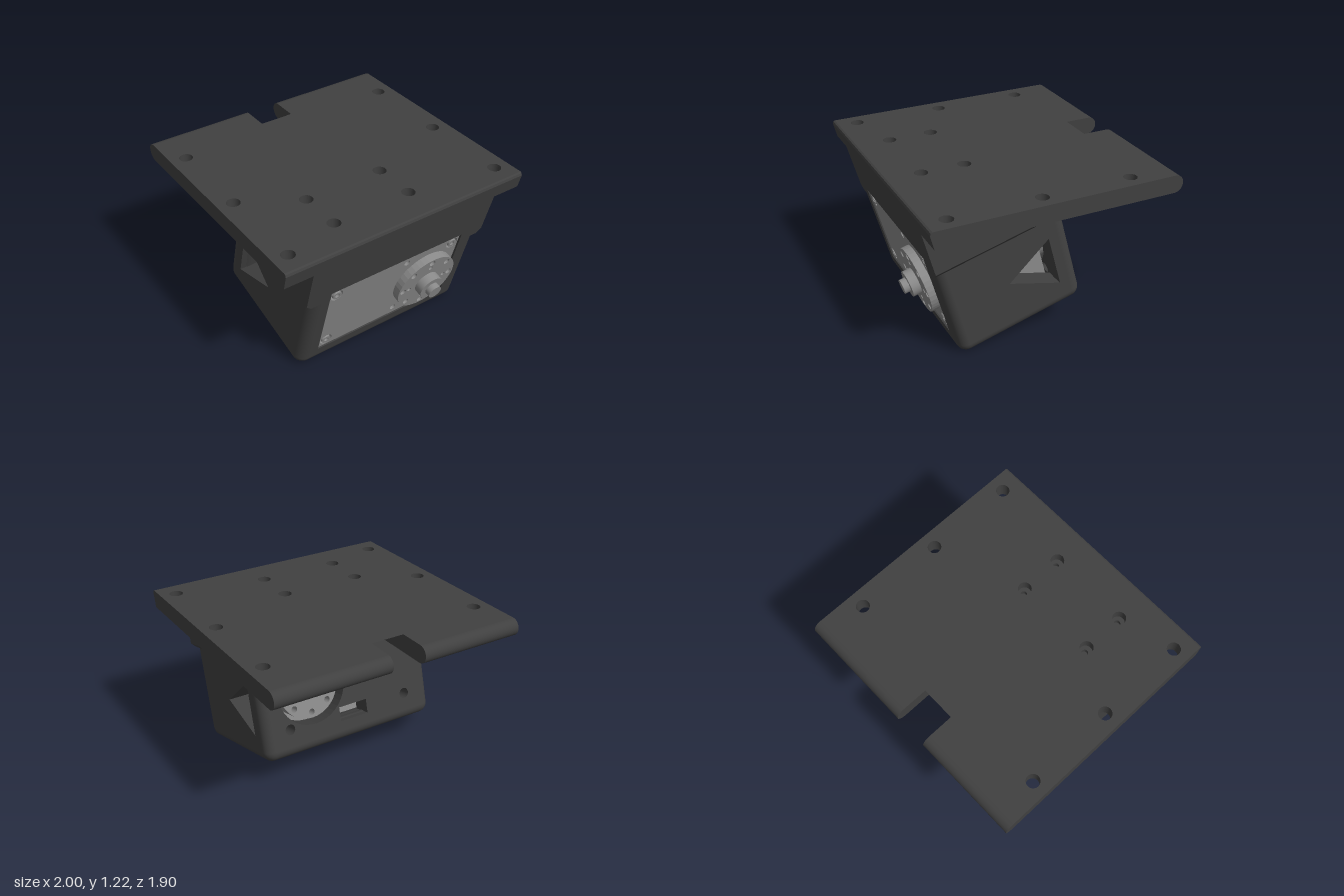
import * as THREE from 'three';

const dark = new THREE.MeshStandardMaterial({ color: 0x404040 });
const steel = new THREE.MeshStandardMaterial({ color: 0x8a8a8a });

const poly = (pts) => new THREE.Shape(pts.map(([x, y]) => new THREE.Vector2(x, y)));
const rect = (x0, y0, x1, y1) => poly([[x0, y0], [x1, y0], [x1, y1], [x0, y1]]);
const disc = (x, y, r) => new THREE.Shape().absarc(x, y, r, 0, Math.PI * 2);

function add(parent, name, geo, mat = dark) {
  const mesh = new THREE.Mesh(geo, mat);
  mesh.name = name;
  parent.add(mesh);
  return mesh;
}

function extrude(shape, depth, holes = []) {
  shape.holes.push(...holes);
  return new THREE.ExtrudeGeometry(shape, { depth, bevelEnabled: false, curveSegments: 20 });
}
// Outline in (x, y), solid from z0 to z1
const alongZ = (shape, z0, z1, holes) => extrude(shape, z1 - z0, holes).translate(0, 0, z0);
// Outline in (z, y), solid from x0 to x1
const alongX = (shape, x0, x1, holes) => extrude(shape, x1 - x0, holes).rotateY(-Math.PI / 2).translate(x1, 0, 0);
// Outline in (x, -z), solid from y0 to y1
const alongY = (shape, y0, y1, holes) => extrude(shape, y1 - y0, holes).rotateX(-Math.PI / 2).translate(0, y0, 0);

function makePlate() {
  const g = new THREE.Group();
  g.name = 'mountingPlate';
  const y0 = 1.09, y1 = 1.225, n0 = -0.17, n1 = 0.095;
  const holes = [];
  for (const x of [-0.88, 0.88]) for (const z of [-0.59, 0.1, 0.79]) holes.push(disc(x, -z, 0.05));
  for (const x of [-0.45, 0.18]) for (const z of [0.35, 0.68]) {
    holes.push(disc(x, -z, 0.05));
    add(g, 'counterboreStep', alongY(disc(x, -z, 0.055), y0, 1.14, [disc(x, -z + 0.01, 0.025)]));
  }
  const plan = poly([[-1, -0.9], [1, -0.9], [1, 0.88], [n1, 0.88], [n1, 0.19], [n0, 0.19], [n0, 0.88], [-1, 0.88]]);
  add(g, 'plate', alongY(plan, y0, y1, holes));
  // Sloped ceiling of the cable channel
  add(g, 'channelCeiling', alongX(poly([[-0.69, y1], [-0.19, y0], [-0.19, y1]]), n0, n1));
  // Slanted front edge
  add(g, 'frontEdge', alongX(poly([[0.9, y0], [0.924, y0], [0.952, 1.2], [0.947, 1.218], [0.935, y1], [0.9, y1]]), -1, 1));
  // Rounded rear edge on both sides of the notch
  const r = (y1 - y0) / 2;
  for (const [a, b] of [[-1, n0], [n1, 1]]) {
    const lip = new THREE.Shape();
    lip.moveTo(-0.88, y0).lineTo(-0.88, y1);
    lip.absarc(-0.885, y0 + r, r, Math.PI / 2, Math.PI * 1.5, false);
    add(g, 'rearEdge', alongX(lip, a, b));
  }
  return g;
}

function makeHousing() {
  const g = new THREE.Group();
  g.name = 'housing';
  const X = 0.735, B = 0.155, R = -0.4, F = 0.61, r = 0.08, t = 0.155;
  const xi = X - r, bi = B + r, ri = R + r, fi = F - r;

  // Side walls with triangular windows
  for (const [a, b] of [[X - t, X], [-X, t - X]]) {
    const tri = poly([[-0.246, 0.76], [0.122, 0.56], [-0.246, 0.354]]);
    add(g, 'sideWall', alongX(rect(ri, bi, fi, 0.92), a, b, [tri]));
  }
  // Floor with a triangular window and four screw holes
  const floorHoles = [poly([[-0.37, 0.235], [0.37, 0.235], [0, -0.09]])];
  for (const x of [-0.45, 0.18]) for (const z of [0.03, 0.35]) {
    if (x > 0 || z > 0) floorHoles.push(disc(x, -z, 0.02));
  }
  add(g, 'floor', alongY(rect(-xi, -fi, xi, -ri), B, B + 0.147, floorHoles));
  // Rear wall with the round opening, cable slot and screw holes
  add(g, 'rearWall', alongZ(rect(-xi, bi, xi, 0.975), R, R + t, [
    disc(0.3, 0.635, 0.28), rect(-0.15, 0.31, 0.09, 0.42), disc(0.52, 0.37, 0.04), disc(-0.5, 0.37, 0.04),
  ]));
  // Front frame around the pocket
  add(g, 'frontFrame', alongZ(poly([
    [-xi, bi], [xi, bi], [xi, 0.975], [0.575, 0.975], [0.575, 0.302], [-0.58, 0.302], [-0.58, 0.975], [-xi, 0.975],
  ]), 0.45, F));

  // Rounded edges and corners
  const edge = (len) => new THREE.CylinderGeometry(r, r, len, 32);
  for (const z of [ri, fi]) {
    add(g, 'bottomEdge', edge(2 * xi).rotateZ(Math.PI / 2).translate(0, bi, z));
    for (const x of [-xi, xi]) {
      add(g, 'uprightEdge', edge(0.92 - bi).translate(x, (0.92 + bi) / 2, z));
      add(g, 'corner', new THREE.SphereGeometry(r, 32, 20).translate(x, bi, z));
    }
  }
  for (const x of [-xi, xi]) add(g, 'bottomSideEdge', edge(fi - ri).rotateX(Math.PI / 2).translate(x, bi, (fi + ri) / 2));

  // Chamfered shoulders widening to the upper block
  const W = 0.775;
  for (const s of [-1, 1]) {
    add(g, 'shoulder', alongZ(poly([
      [s * 0.577, 0.905], [s * X, 0.905], [s * W, 0.945], [s * W, 0.975], [s * 0.577, 0.975],
    ]), R, F));
  }
  // Upper wedge, interrupted at the rear by the cable channel
  const full = [[F, 0.975], [F, 1.302], [-0.625, 0.975]];
  const cut = [[F, 0.975], [F, 1.302], [R, 1.034], [R, 0.975]];
  for (const [a, b, pts] of [[-W, -0.17, full], [-0.17, 0.095, cut], [0.095, W, full]]) {
    add(g, 'upperWedge', alongX(poly(pts), a, b));
    if (pts === full) add(g, 'rearFlare', alongX(poly([[R, 0.88], [-0.495, 0.975], [R, 0.975]]), a, b));
  }
  return g;
}

function makeActuator() {
  const g = new THREE.Group();
  g.name = 'actuator';
  const cx = 0.298, cy = 0.635;
  const ring = (n, radius, r) => Array.from({ length: n }, (_, i) => {
    const a = (i / n) * Math.PI * 2;
    return disc(cx + radius * Math.cos(a), cy + radius * Math.sin(a), r);
  });
  const round = (r, z0, z1) => new THREE.CylinderGeometry(r, r, z1 - z0, 40).rotateX(Math.PI / 2).translate(cx, cy, (z0 + z1) / 2);

  add(g, 'motorBody', alongZ(rect(-0.56, 0.31, 0.555, 0.965), -0.22, 0.55), steel);
  // Face panel with corner screws
  const holes = [disc(0.095, 0.37, 0.025), disc(0.095, 0.905, 0.025)];
  for (const x of [-0.515, 0.51]) for (const y of [0.37, 0.905]) {
    holes.push(disc(x, y, 0.05));
    add(g, 'cornerScrew', alongZ(disc(x, y, 0.036), 0.55, 0.605, [disc(x, y, 0.018)]), steel);
  }
  add(g, 'facePanel', alongZ(poly([
    [-0.575, 0.305], [0.53, 0.305], [0.568, 0.34], [0.568, 0.972], [-0.575, 0.972],
  ]), 0.53, 0.6, holes), steel);
  // Output disc, hub and shaft
  add(g, 'outputDisc', alongZ(disc(cx, cy, 0.255), 0.6, 0.66, [...ring(8, 0.215, 0.025), ...ring(4, 0.16, 0.017)]), steel);
  add(g, 'hub', round(0.1, 0.6, 0.726), steel);
  add(g, 'shaft', round(0.055, 0.7, 0.771), steel);
  // Rear idler disc
  add(g, 'idlerDisc', alongZ(disc(cx, cy, 0.245), -0.35, -0.22, [...ring(8, 0.2, 0.024), disc(cx, cy, 0.09)]), steel);
  return g;
}

export function createModel() {
  const model = new THREE.Group();
  model.name = 'motorMount';
  // The housing and its motor lean forward under the level plate
  const tilted = new THREE.Group();
  tilted.name = 'tiltedUnit';
  tilted.rotation.x = THREE.MathUtils.degToRad(15);
  tilted.add(makeHousing(), makeActuator());
  model.add(makePlate(), tilted);
  return model;
}
